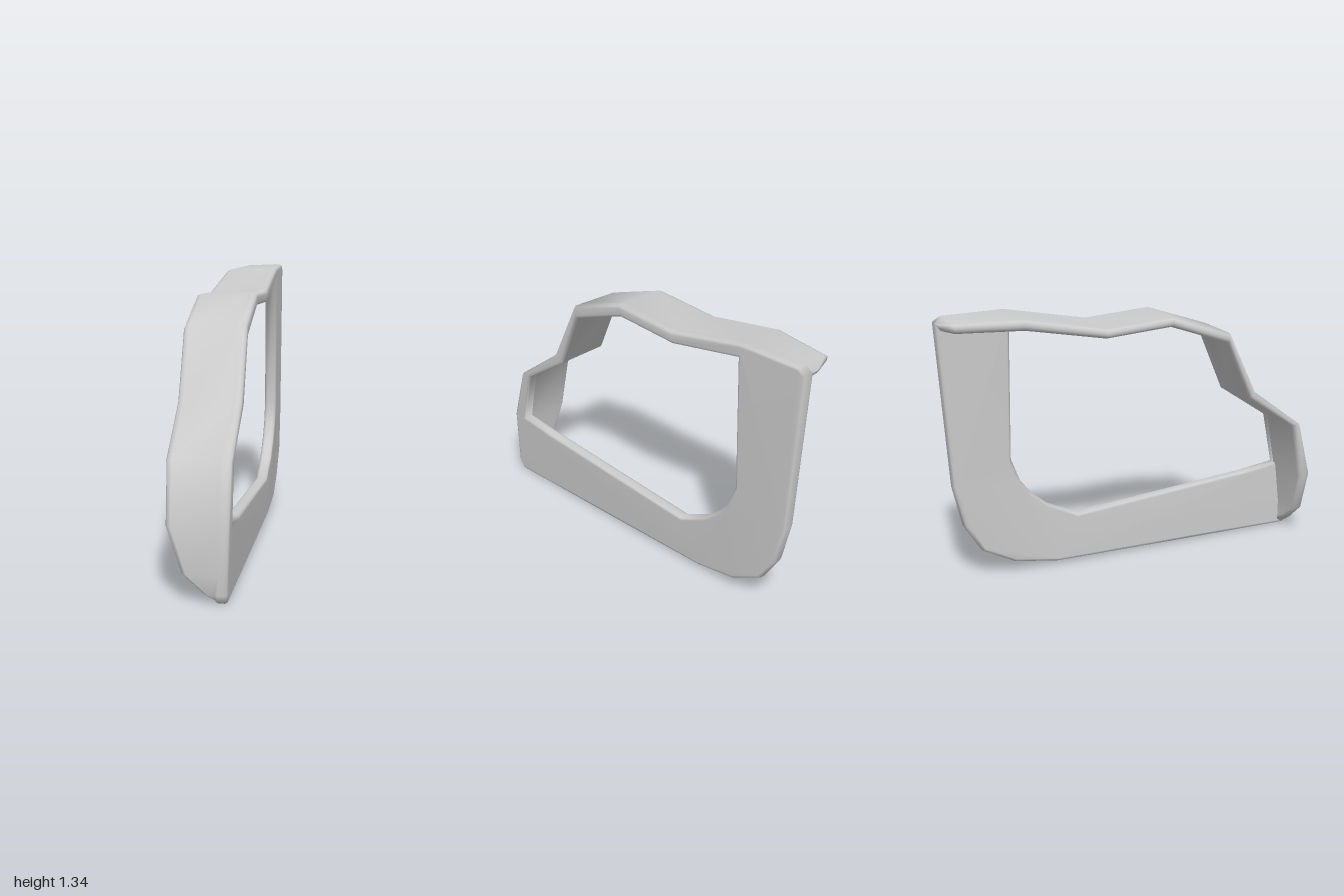
import * as THREE from 'three';
import { mergeVertices } from 'three/addons/utils/BufferGeometryUtils.js';

// Rim stations from bottom front to top back: outer z, y, inner z, y, right edge x
const RIM = [
  [0.967, 0.004, 0.92, 0.03, 0.07],
  [0.997, 0.04, 0.93, 0.06, 0.028],
  [1.0, 0.13, 0.93, 0.14, -0.07],
  [1.0, 0.35, 0.91, 0.335, -0.14],
  [0.92, 0.63, 0.855, 0.63, -0.147],
  [0.635, 0.84, 0.58, 0.81, -0.15],
  [0.47, 1.17, 0.45, 1.11, -0.15],
  [0.14, 1.28, 0.13, 1.22, -0.15],
  [-0.21, 1.255, -0.22, 1.195, -0.15],
  [-0.64, 1.335, -0.625, 1.265, -0.125],
  [-0.96, 1.33, -0.945, 1.27, -0.07],
  [-0.998, 1.305, -0.975, 1.27, 0.03],
];

// Flat side plate with one large opening, drawn in the z-y plane
function plateGeometry() {
  const toV = ([z, y]) => new THREE.Vector2(-z, y);
  const outline = [
    [-0.94, 0.49], [-0.89, 0.28], [-0.8, 0.14], [-0.63, 0.052], [-0.4, 0.015],
    [0.3, 0.006], [0.965, 0], [1.0, 0.045],
    ...RIM.slice(3).map(r => [r[0], r[1]]),
  ];
  const opening = [
    [-0.635, 0.59], [-0.59, 0.475], [-0.53, 0.4], [-0.44, 0.325], [-0.28, 0.25],
    [0.7, 0.33], [0.91, 0.355],
    ...RIM.slice(4, 10).map(r => [r[2], r[3]]),
  ];
  const shape = new THREE.Shape(outline.map(toV));
  // The opening runs against the outline so its walls face inward
  shape.holes.push(new THREE.Path(opening.map(toV).reverse()));
  const bevel = 0.016;
  let g = new THREE.ExtrudeGeometry(shape, {
    depth: 0.03, bevelEnabled: true, bevelThickness: bevel,
    bevelSize: bevel, bevelOffset: -bevel, bevelSegments: 2,
  });
  g.rotateY(Math.PI / 2);
  g.translate(0.15 - 0.03 - bevel, 0, 0);
  // The plate leans slightly inward along its bottom and back edges
  const p = g.attributes.position;
  for (let i = 0; i < p.count; i++) {
    const lean = 0.04 * Math.max(0, 0.28 - p.getY(i)) + 0.03 * Math.max(0, -0.63 - p.getZ(i));
    p.setX(i, p.getX(i) - lean);
  }
  g.deleteAttribute('uv');
  g.deleteAttribute('normal');
  g = mergeVertices(g, 1e-5);
  return g;
}

// Wide flange lofted along the rim, with a rounded free edge
function flangeGeometry() {
  const pos = [], index = [], start = 0.104;
  for (const [oz, oy, iz, iy, xr] of RIM) {
    // x and depth (0 outer, 1 inner) of each section corner
    const section = [
      [start, 0], [xr + 0.025, 0.12], [xr + 0.006, 0.25], [xr, 0.45],
      [xr, 0.65], [xr + 0.006, 0.82], [xr + 0.02, 0.92], [start, 0.97],
    ];
    for (const [x, t] of section) {
      pos.push(x, oy + (iy - oy) * t, oz + (iz - oz) * t);
    }
  }
  // The edge buried in the plate stays open
  const n = 8, last = (RIM.length - 1) * n;
  for (let a = 0; a < last; a += n) {
    for (let j = a; j < a + n - 1; j++) {
      index.push(j, j + n, j + 1, j + n, j + n + 1, j + 1);
    }
  }
  // End caps
  for (let j = 1; j < n - 1; j++) {
    index.push(0, j, j + 1, last, last + j + 1, last + j);
  }
  const g = new THREE.BufferGeometry();
  g.setAttribute('position', new THREE.Float32BufferAttribute(pos, 3));
  g.setIndex(index);
  return g;
}

export function createModel() {
  const group = new THREE.Group();
  group.name = 'windowFrame';
  const material = new THREE.MeshStandardMaterial({ color: 0xcccccc, side: THREE.DoubleSide });
  const add = (name, geometry) => {
    geometry.computeVertexNormals();
    const mesh = new THREE.Mesh(geometry, material);
    mesh.name = name;
    group.add(mesh);
  };
  add('sidePlate', plateGeometry());
  add('rimFlange', flangeGeometry());
  return group;
}
